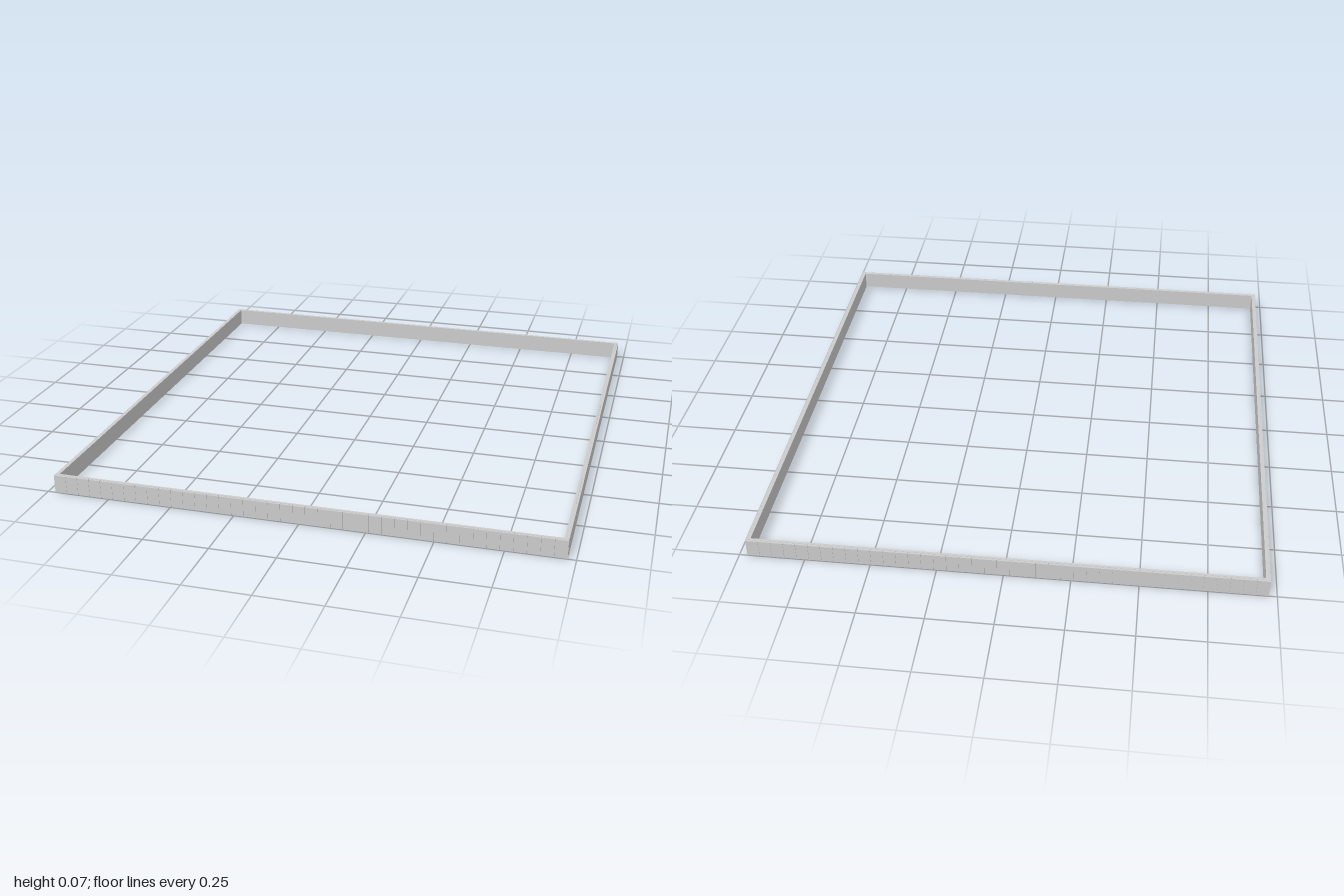
import * as THREE from 'three';

const HALF_X = 0.97, HALF_Z = 1, HEIGHT = 0.072;
const RAIL = 0.009, TILE = 0.008, PITCH = 0.0473, GAP = 0.0008;

const material = new THREE.MeshStandardMaterial({ color: 0xcccccc, flatShading: true });

function box(name, w, h, d, x, y, z) {
  const mesh = new THREE.Mesh(new THREE.BoxGeometry(w, h, d), material);
  mesh.name = name;
  mesh.position.set(x, y, z);
  return mesh;
}

// One wall facing +z: a plain backing rail with a row of thin tiles outside,
// the last tile cut to fit the length
function createWall(name, railLength, tileLength, distance) {
  const wall = new THREE.Group();
  wall.name = name;
  const railZ = distance - TILE - RAIL / 2;
  wall.add(box('backingRail', railLength, HEIGHT, RAIL, 0, HEIGHT / 2, railZ));

  const count = Math.ceil(tileLength / PITCH - 0.05);
  for (let i = 0; i < count; i++) {
    const right = tileLength / 2 - i * PITCH;
    const left = i === count - 1 ? -tileLength / 2 : right - PITCH;
    wall.add(box('tile', right - left - GAP, HEIGHT - 0.002, TILE,
      (left + right) / 2, HEIGHT / 2, distance - TILE / 2));
  }
  return wall;
}

export function createModel() {
  const model = new THREE.Group();
  model.name = 'tiledFrame';
  const railX = 2 * (HALF_X - TILE);
  const railZ = 2 * (HALF_Z - TILE - RAIL);

  // Front and back walls run the full width; side walls fit between their tiles
  const walls = [
    ['frontWall', railX, 2 * HALF_X, HALF_Z, 0],
    ['leftWall', railZ, 2 * (HALF_Z - TILE), HALF_X, Math.PI / 2],
    ['backWall', railX, 2 * HALF_X, HALF_Z, Math.PI],
    ['rightWall', railZ, 2 * (HALF_Z - TILE), HALF_X, -Math.PI / 2],
  ];
  for (const [name, rail, tiles, distance, angle] of walls) {
    const wall = createWall(name, rail, tiles, distance);
    wall.rotation.y = angle;
    model.add(wall);
  }
  return model;
}
